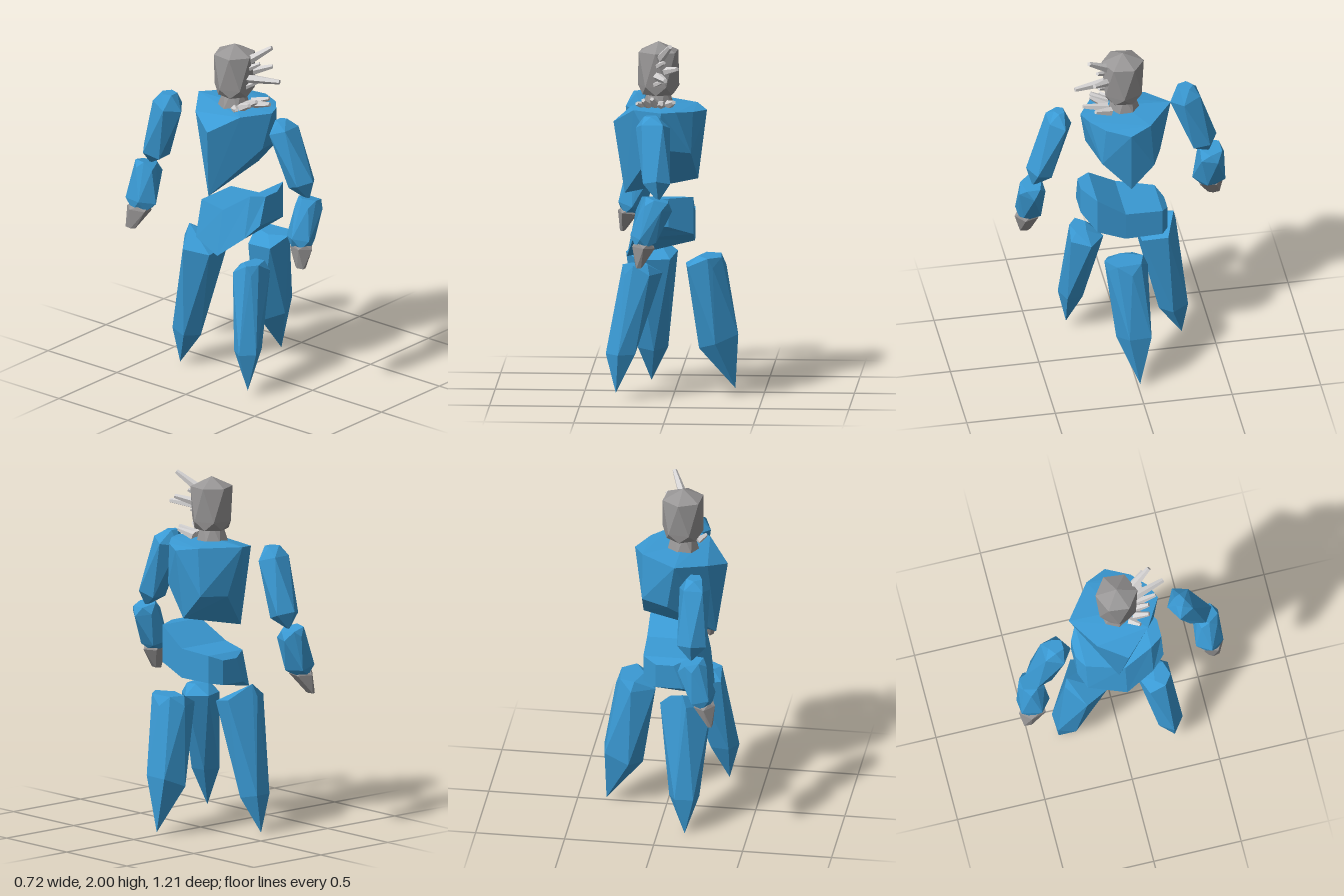
import * as THREE from 'three';
import { ConvexGeometry } from 'three/addons/geometries/ConvexGeometry.js';

const mat = (name, color) => {
  const m = new THREE.MeshStandardMaterial({ color, flatShading: true });
  m.name = name;
  return m;
};

export function createModel() {
  const blue = mat('crystalBlue', 0x3a9ad4);
  const grey = mat('stoneGrey', 0x989696);
  const pale = mat('paleStone', 0xd4d2d2);
  const model = new THREE.Group();
  model.name = 'crystalGolem';

  const add = (name, geometry, material, parent = model) => {
    const mesh = new THREE.Mesh(geometry, material);
    mesh.name = name;
    parent.add(mesh);
    return mesh;
  };
  const hull = (points) => new ConvexGeometry(points.map((p) => new THREE.Vector3(...p)));

  // Faceted shard: rings [x, y, z, radiusX, radiusZ, tiltX, tiltZ], each turned half a side from
  // the one before; a ring without radius is a tip
  const shard = (stations, sides = 5, phase = 0) => {
    const points = [];
    stations.forEach(([x, y, z, rx = 0, rz = rx, tx = 0, tz = 0], s) => {
      if (!rx) return points.push([x, y, z]);
      for (let i = 0; i < sides; i++) {
        const a = phase + ((i + s / 2) / sides) * Math.PI * 2;
        const dx = rx * Math.cos(a), dz = rz * Math.sin(a);
        points.push([x + dx, y + tx * dx + tz * dz, z + dz]);
      }
    });
    return hull(points);
  };

  // Chest: wide shoulders narrowing to a keel that runs along x
  add('chest', hull([
    [-0.34, 1.53, 0.02], [-0.22, 1.62, 0.16], [-0.06, 1.62, 0.255], [0.02, 1.62, 0.22],
    [0.11, 1.61, 0.14], [0.18, 1.6, 0.01], [0.12, 1.62, -0.11], [0, 1.62, -0.2],
    [-0.08, 1.625, -0.26], [-0.25, 1.59, -0.14], [-0.09, 1.635, 0.01],
    [-0.1, 1.41, 0.22], [0.1, 1.38, 0.16], [0.12, 1.35, -0.13], [-0.03, 1.34, -0.19],
    [0.13, 1.21, 0], [0, 1.2, 0], [-0.28, 1.12, -0.02],
  ]), blue);

  // Waist: bent slab lofted along z; [z, xBack, xFront, top, bottomFront, bottomBack]
  const sections = [
    [0.26, -0.17, -0.02, 1.14, 0.98, 0.98],
    [0.19, -0.22, 0.115, 1.14, 0.93, 0.9],
    [0.03, -0.265, 0.115, 1.03, 0.865, 0.77],
    [-0.18, -0.2, 0.105, 1.02, 0.865, 0.81],
    [-0.22, -0.12, 0.03, 0.99, 0.85, 0.85],
  ].map(([z, xb, xf, top, bf, bb]) => [[xf, bf, z], [xf, top, z], [xb + 0.05, top, z], [xb, bb, z]]);
  const tris = [];
  const quad = (a, b, c, d) => tris.push(...a, ...b, ...c, ...a, ...c, ...d);
  quad(...sections[0]);
  quad(...[...sections[4]].reverse());
  for (let i = 0; i < 4; i++) {
    for (let k = 0; k < 4; k++) {
      const n = (k + 1) % 4;
      quad(sections[i][k], sections[i + 1][k], sections[i + 1][n], sections[i][n]);
    }
  }
  const waist = new THREE.BufferGeometry();
  waist.setAttribute('position', new THREE.Float32BufferAttribute(tris, 3));
  waist.computeVertexNormals();
  add('waist', waist, blue);

  // Arm on the +z side
  add('upperArmA', shard([
    [-0.11, 1.625, 0.365, 0.04, 0.03], [-0.1, 1.565, 0.372, 0.1, 0.074, 0, 0.35],
    [-0.07, 1.26, 0.485, 0.08, 0.075, 0, 0.4], [-0.06, 1.17, 0.525],
  ], 5, 0.3), blue);
  add('forearmA', shard([
    [-0.06, 1.185, 0.53, 0.068, 0.064, -0.25], [-0.065, 1.14, 0.53, 0.083, 0.078, -0.25],
    [-0.135, 0.965, 0.526, 0.08, 0.083, -0.25], [-0.14, 0.925, 0.535, 0.055, 0.06],
  ], 5, 0.6), blue);
  add('handA', shard([
    [-0.14, 0.945, 0.54, 0.05, 0.055], [-0.14, 0.92, 0.542, 0.066, 0.07, -0.1], [-0.165, 0.805, 0.55, 0.02, 0.035],
  ], 5, 0.9), grey);

  // Arm on the -z side
  add('upperArmB', shard([
    [-0.21, 1.63, -0.365, 0.045, 0.045], [-0.21, 1.56, -0.368, 0.09, 0.088, 0, -0.3],
    [-0.21, 1.255, -0.465, 0.085, 0.078, 0, -0.35], [-0.21, 1.175, -0.5],
  ], 5, 0.9), blue);
  add('forearmB', shard([
    [-0.22, 1.185, -0.515, 0.065, 0.065, -0.25], [-0.22, 1.145, -0.51, 0.085, 0.078, -0.25],
    [-0.27, 0.965, -0.513, 0.08, 0.098, -0.25], [-0.28, 0.92, -0.515, 0.05, 0.065],
  ], 5, 1.5), blue);
  add('handB', shard([
    [-0.285, 0.945, -0.515, 0.05, 0.06], [-0.29, 0.92, -0.518, 0.062, 0.08, -0.1], [-0.325, 0.81, -0.55, 0.015, 0.035],
  ], 5, 1.5), grey);

  // Three pointed legs
  add('legA', shard([
    [-0.2, 0.765, 0.24, 0.075, 0.05], [-0.175, 0.71, 0.205, 0.12, 0.1],
    [-0.28, 0.265, 0.265, 0.088, 0.075], [-0.31, 0.045, 0.29],
  ], 5, 0.5), blue);
  add('legB', shard([
    [-0.13, 0.845, -0.285], [-0.135, 0.75, -0.18, 0.152, 0.122, 0, -0.2],
    [-0.14, 0.21, -0.287, 0.088, 0.085, 0, -0.2], [-0.15, 0.005, -0.335],
  ], 5, 0.2), blue);
  add('legC', shard([
    [0.205, 0.785, 0.05, 0.072, 0.118], [0.168, 0.73, 0.04, 0.122, 0.122],
    [0.253, 0.3, 0, 0.118, 0.108, 0.4], [0.337, 0.025, -0.01],
  ], 5, 0.5), blue);

  // Neck and head
  add('neck', shard([[-0.09, 1.72, 0.01, 0.06], [-0.09, 1.62, 0.005, 0.09]], 7), grey);
  add('head', shard([
    [-0.09, 1.985, 0.01], [-0.09, 1.93, 0.01, 0.118],
    [-0.09, 1.74, 0.01, 0.117], [-0.09, 1.69, 0.01, 0.095],
  ], 6, 0.1), grey);

  // Slender spikes: [base, tip, base radius]
  const up = new THREE.Vector3(0, 1, 0);
  const spikes = (name, list) => {
    const group = new THREE.Group();
    group.name = name;
    model.add(group);
    list.forEach(([from, to, r]) => {
      const a = new THREE.Vector3(...from), b = new THREE.Vector3(...to);
      const dir = b.clone().sub(a);
      const spike = add('spike', new THREE.CylinderGeometry(r * 0.45, r, dir.length(), 5), pale, group);
      spike.position.copy(a).lerp(b, 0.5);
      spike.quaternion.setFromUnitVectors(up, dir.normalize());
    });
  };
  spikes('faceSpikes', [
    [[-0.09, 1.88, 0.07], [-0.012, 1.99, 0.215], 0.03],
    [[-0.1, 1.8, 0.07], [-0.035, 1.81, 0.29], 0.03],
    [[-0.07, 1.82, 0.07], [0.025, 1.86, 0.19], 0.028],
    [[-0.12, 1.84, 0.07], [-0.05, 1.89, 0.16], 0.024],
    [[-0.13, 1.74, 0.07], [-0.06, 1.78, 0.15], 0.022],
  ]);
  spikes('collarSpikes', [
    [[-0.16, 1.63, 0.07], [-0.205, 1.65, 0.12], 0.024],
    [[-0.14, 1.64, 0.1], [-0.165, 1.68, 0.18], 0.027],
    [[-0.1, 1.64, 0.1], [-0.115, 1.69, 0.19], 0.027],
    [[-0.07, 1.64, 0.1], [-0.06, 1.67, 0.24], 0.027],
    [[-0.03, 1.64, 0.09], [0.005, 1.67, 0.18], 0.027],
  ]);
  return model;
}
